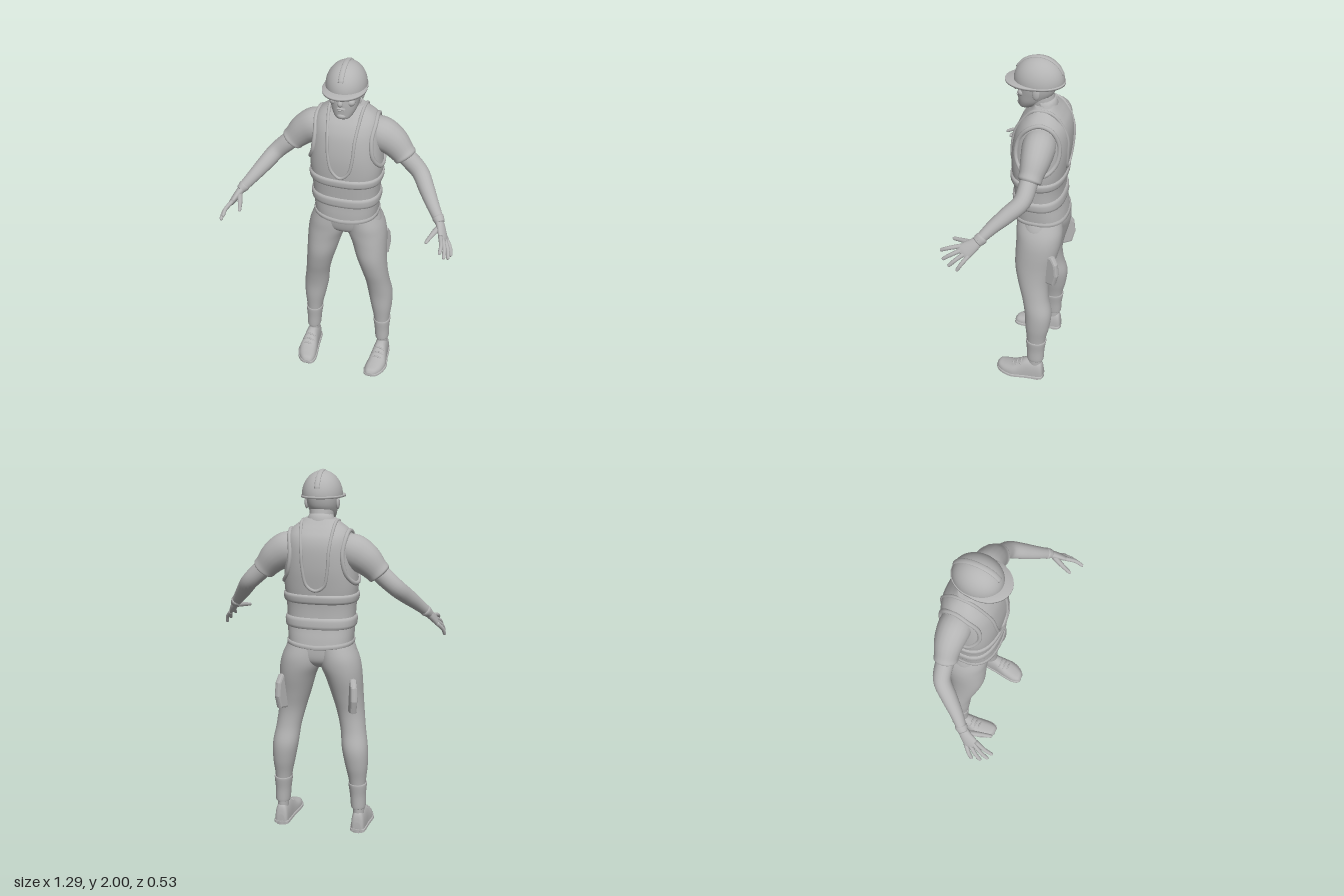
import * as THREE from 'three';

const V = (x, y, z) => new THREE.Vector3(x, y, z);
const spow = (v, e) => Math.sign(v) * Math.abs(v) ** e;

// Catmull-Rom through rows of numbers, column by column
function spline(rows, k = 5) {
  const out = [], at = i => rows[Math.min(Math.max(i, 0), rows.length - 1)];
  for (let i = 0; i < rows.length - 1; i++) for (let s = 0; s < k; s++) {
    const t = s / k, [p, a, b, q] = [at(i - 1), at(i), at(i + 1), at(i + 2)];
    out.push(a.map((v, c) => {
      const cubic = 3 * (v - b[c]) + q[c] - p[c];
      const square = 2 * p[c] - 5 * v + 4 * b[c] - q[c];
      return v + 0.5 * t * (b[c] - p[c] + t * (square + t * cubic));
    }));
  }
  return [...out, at(rows.length - 1)];
}

// Surface through closed rings, with capped ends
function skin(rings, caps = true) {
  const n = rings[0].length, m = rings.length, pts = rings.flat(), idx = [];
  for (let i = 0; i < m - 1; i++) for (let j = 0; j < n; j++) {
    const a = i * n + j, b = i * n + (j + 1) % n;
    idx.push(a, b, a + n, b, b + n, a + n);
  }
  if (caps) for (const i of [0, m - 1]) {
    const c = pts.length;
    pts.push(rings[i].reduce((s, p) => s.add(p), V(0, 0, 0)).divideScalar(n));
    for (let j = 0; j < n; j++) {
      const a = i * n + j, b = i * n + (j + 1) % n;
      if (i) idx.push(c, a, b);
      else idx.push(c, b, a);
    }
  }
  const g = new THREE.BufferGeometry().setFromPoints(pts);
  g.setIndex(idx);
  g.computeVertexNormals();
  return g;
}

const circle = (n, f) => Array.from({ length: n }, (_, j) => f(Math.cos(j / n * 2 * Math.PI), Math.sin(j / n * 2 * Math.PI)));

// Upright form, rows of [y, xMid, halfWidth, zFront, zBack]
const level = ([y, x, rx, zf, zb], e = 2, grow = 0) => circle(40, (c, s) =>
  V(x + (rx + grow) * spow(c, 2 / e), y, (zf + zb) / 2 - ((zf - zb) / 2 + grow) * spow(s, 2 / e)));
const column = (rows, e) => skin(spline(rows).map(r => level(r, e)));

// Limb along a path, rows of [x, y, z, radius along ref, radius across]
function limb(rows, ref = V(0, 0, 1), k = 5, n = 20) {
  const path = spline(rows, k), p = path.map(r => V(r[0], r[1], r[2]));
  return skin(path.map((r, i) => {
    const t = p[Math.min(i + 1, p.length - 1)].clone().sub(p[Math.max(i - 1, 0)]).normalize();
    const side = ref.clone().addScaledVector(t, -ref.dot(t)).normalize(), up = t.clone().cross(side);
    return circle(n, (c, s) => p[i].clone().addScaledVector(side, c * r[3]).addScaledVector(up, s * r[4]));
  }));
}

function ball(x, y, z, a, b, c) {
  return new THREE.SphereGeometry(1, 20, 14).scale(a, b, c).translate(x, y, z);
}

function mirror(geo) {
  const g = geo.clone().scale(-1, 1, 1);
  const idx = g.index ? [...g.index.array] : [...Array(g.attributes.position.count).keys()];
  for (let i = 0; i < idx.length; i += 3) {
    [idx[i], idx[i + 1]] = [idx[i + 1], idx[i]];
  }
  return g.setIndex(idx);
}

// Vest profile, also used to lay the trims on its surface
const VEST_E = 2.5;
const vestRows = spline([
  [1.085, 0, .174, .03, -.258], [1.13, 0, .178, .03, -.25], [1.2, 0, .182, .028, -.236], [1.3, 0, .187, .036, -.234],
  [1.4, 0, .197, .044, -.248], [1.5, 0, .193, .043, -.26], [1.6, 0, .184, .026, -.26], [1.66, 0, .174, 0, -.246],
  [1.7, 0, .152, -.03, -.22], [1.73, 0, .115, -.055, -.195], [1.755, 0, .085, -.07, -.175]]);
function vestAt(y) {
  const i = Math.max(1, vestRows.findIndex(r => r[0] >= y)), a = vestRows[i - 1], b = vestRows[i];
  return a.map((v, c) => v + (b[c] - v) * (y - a[0]) / (b[0] - a[0]));
}
const arc = (u, r) => r * Math.max(0, 1 - Math.abs(u) ** VEST_E) ** (1 / VEST_E);
function onVest(x, y, face) {
  const [, , rx, zf, zb] = vestAt(y);
  return V(x, y, (zf + zb) / 2 + face * arc(x / rx, (zf - zb) / 2));
}
function onSide(z, y) {
  const [, , rx, zf, zb] = vestAt(y);
  return V(arc((z - (zf + zb) / 2) / ((zf - zb) / 2), rx), y, z);
}
const trim = (pts, r) => new THREE.TubeGeometry(new THREE.CatmullRomCurve3(pts, true), 120, r, 8, true);

export function createModel() {
  const model = new THREE.Group();
  model.name = 'worker';
  const grey = new THREE.MeshStandardMaterial({ color: 0xb4b4b4 });
  grey.name = 'plain grey';
  const add = (name, geo) => {
    const m = new THREE.Mesh(geo, grey);
    m.name = name;
    model.add(m);
  };
  const pair = (name, geo) => { add('left' + name, geo); add('right' + name, mirror(geo)); };

  // Vest with reflective bands, a dipping hem and trims
  add('vest', skin(vestRows.map(r => level(r, VEST_E))));
  for (const [lo, hi] of [[1.18, 1.24], [1.315, 1.365]]) {
    const steps = [[0, 0], [.08, .008], [.3, .011], [.7, .011], [.92, .008], [1, 0]];
    add('vestBand', skin(steps.map(([t, g]) => level(vestAt(lo + t * (hi - lo)), VEST_E, g)), false));
  }
  const hemRings = [[1.085, 0], [1.089, .007], [1.104, .007], [1.11, 0]].map(([y, g]) => level(vestAt(y), VEST_E, g));
  for (const p of hemRings.flat()) p.y -= .012 * (1 - Math.abs(p.x) / .18);
  add('vestHem', skin(hemRings));
  const neckline = [[.085, 1.7], [.073, 1.6], [.066, 1.5], [.045, 1.415]];
  const half = (f, low) => [...neckline.map(([x, y]) => onVest(x, y, f)), onVest(0, low, f),
    ...neckline.slice().reverse().map(([x, y]) => onVest(-x, y, f))];
  const top = [onVest(.09, 1.738, 1), onVest(.09, 1.738, -1)];
  const flip = p => V(-p.x, p.y, p.z);
  add('necklineTrim', trim([top[0], ...half(1, 1.378), flip(top[0]), flip(top[1]), ...half(-1, 1.39).reverse(), top[1]], .009));
  pair('ArmholeTrim', trim([[-.01, 1.5], [-.02, 1.6], [-.07, 1.67], [-.13, 1.695], [-.19, 1.672], [-.228, 1.58],
    [-.215, 1.48], [-.16, 1.425], [-.06, 1.43]].map(p => onSide(...p)), .012));

  // Trousers with cuffs
  add('pelvis', column([[.955, 0, .05, -.06, -.17], [.985, 0, .15, -.02, -.215], [1.03, 0, .198, -.002, -.232], [1.12, 0, .17, .01, -.23]], 2.2));
  const leg = (y, out, inn, zf, zb) => [y, (out + inn) / 2, (out - inn) / 2, zf, zb];
  pair('Leg', column([leg(.14, .25, .185, -.095, -.18), leg(.3, .26, .166, -.085, -.195), leg(.4, .27, .145, -.075, -.215),
    leg(.5, .269, .126, -.068, -.222), leg(.6, .253, .114, -.048, -.2), leg(.7, .241, .09, -.02, -.195), leg(.8, .233, .06, 0, -.213),
    leg(.9, .229, .03, .001, -.238), leg(.97, .222, .002, .001, -.25), leg(1.03, .205, -.002, .003, -.25), leg(1.1, .17, 0, 0, -.235)], 2.1));
  pair('Cuff', column([leg(.142, .254, .182, -.093, -.184), leg(.15, .261, .178, -.088, -.188), leg(.22, .261, .172, -.086, -.191),
    leg(.285, .266, .163, -.081, -.2), leg(.292, .26, .168, -.086, -.195)], 2.1));
  pair('Ankle', column([leg(.08, .252, .19, -.095, -.175), leg(.15, .252, .19, -.095, -.175)]));

  // Rear thigh pouches
  const flap = new THREE.Shape([[0, .9], [.05, .905], [.072, .87], [.08, .8], [.064, .738], [.015, .73], [0, .74]].map(p => new THREE.Vector2(...p)));
  pair('Pouch', new THREE.ExtrudeGeometry(flap, { depth: .012, bevelThickness: .012, bevelSize: .012, bevelSegments: 2 })
    .translate(0, 0, -.006).rotateY(1.13).translate(.177, 0, -.174));

  // Shoes, rows of [z, xMid, halfWidth, top]
  const shoeRows = spline([[-.188, .222, .022, .06], [-.175, .222, .036, .115], [-.13, .222, .042, .13], [-.08, .222, .046, .125],
    [-.04, .222, .052, .1], [0, .221, .057, .076], [.05, .212, .052, .06], [.085, .204, .036, .05], [.1, .2, .016, .03]]);
  const shoe = (base, grow, h, e) => skin(shoeRows.map(([z, x, w, t]) => circle(24, (c, s) =>
    V(x + (w + grow) * spow(c, e), base + (s > 0 ? (h || t - base) * s ** e : 0), z * (1 + grow)))));
  pair('Shoe', shoe(.018, 0, 0, .8));
  pair('Sole', shoe(.008, .006, .016, .25));
  pair('Heel', new THREE.CylinderGeometry(.044, .044, .02, 24).scale(.95, 1, 1).translate(.222, .01, -.148));
  for (const [z, y] of [[-.055, .112], [-.03, .096], [-.005, .081]])
    pair('Lace', limb([[.19, y - .016, z, .005, .005], [.222, y, z, .005, .005], [.254, y - .016, z, .005, .005]], V(0, 0, 1), 4, 8));

  // Sleeves and arms
  pair('Sleeve', limb([[.09, 1.61, -.13, .07, .065], [.17, 1.59, -.132, .085, .092], [.24, 1.55, -.132, .077, .085],
    [.295, 1.495, -.125, .062, .068], [.315, 1.473, -.121, .061, .064], [.32, 1.467, -.12, .045, .048]]));
  pair('Arm', limb([[.27, 1.52, -.125, .045, .045], [.33, 1.465, -.12, .047, .05], [.4, 1.4, -.105, .045, .047],
    [.45, 1.345, -.045, .042, .043], [.5, 1.29, .02, .034, .035], [.55, 1.235, .075, .025, .027]]));

  // Gloved hands
  const across = V(.36, -.58, -.73);
  pair('GloveCuff', limb([[.534, 1.252, .057, .027, .027], [.54, 1.246, .063, .033, .031], [.556, 1.229, .082, .028, .024]], across));
  pair('Palm', limb([[.545, 1.24, .07, .025, .022], [.565, 1.212, .1, .034, .02], [.585, 1.182, .138, .042, .016], [.595, 1.168, .152, .036, .01]], across));
  const tips = [[.592, 1.167, .266], [.614, 1.128, .25], [.632, 1.104, .215], [.64, 1.09, .168]];
  tips.forEach((tip, i) => {
    const a = V(.585, 1.183, .138).addScaledVector(across, (i - 1.5) * .021), b = V(...tip);
    const m = a.clone().lerp(b, .55).add(V(.006, .006, 0));
    pair('Finger', limb([[...a, .012, .012], [...m, .0105, .0105], [...a.clone().lerp(b, .93), .009, .009], [...b, .003, .003]], across, 4, 10));
  });
  pair('Thumb', limb([[.56, 1.215, .09, .016, .016], [.54, 1.207, .135, .015, .015], [.523, 1.198, .18, .011, .011],
    [.512, 1.191, .216, .009, .009], [.51, 1.19, .225, .003, .003]], V(0, 1, 0), 4, 10));

  // Neck and head
  add('neck', limb([[0, 1.64, -.135, .09, .085], [0, 1.71, -.115, .066, .067], [0, 1.8, -.095, .064, .066]], V(1, 0, 0)));
  add('collar', limb([[0, 1.7, -.12, .092, .07], [0, 1.745, -.115, .076, .067], [0, 1.75, -.113, .066, .06]], V(1, 0, 0)));
  add('head', column([[1.715, 0, .022, .004, -.04], [1.725, 0, .042, .017, -.06], [1.76, 0, .064, .021, -.115], [1.8, 0, .075, .023, -.158],
    [1.84, 0, .082, .021, -.174], [1.9, 0, .085, .025, -.18]], 2.15));
  add('nose', limb([[0, 1.856, .018, .007, .008], [0, 1.835, .027, .009, .01], [0, 1.815, .036, .014, .013], [0, 1.806, .03, .011, .008]], V(1, 0, 0)));
  add('upperLip', ball(0, 1.783, .021, .024, .006, .009));
  add('lowerLip', ball(0, 1.772, .019, .02, .006, .009));
  add('chin', ball(0, 1.737, .008, .026, .017, .018));
  pair('Brow', ball(.033, 1.858, .012, .024, .007, .012));
  pair('Eye', ball(.032, 1.84, .006, .014, .008, .012));
  pair('Cheek', ball(.045, 1.812, -.006, .022, .02, .02));
  pair('Ear', ball(.084, 1.83, -.09, .01, .033, .02));

  // Hard hat
  const dome = new THREE.SphereGeometry(1, 40, 20, 0, Math.PI * 2, 0, Math.PI / 2);
  add('hatShell', dome.scale(.106, .126, .129).translate(0, 1.87, -.085));
  const brim = (inner, y) => circle(48, (c, s) => {
    const g = inner ? -.012 : .005 + .04 * Math.max(0, -s);
    return V((.106 + g * (inner ? 1 : .75)) * c, y, -.085 - (.129 + g) * s);
  });
  add('hatBrim', skin([brim(true, 1.862), brim(false, 1.86), brim(false, 1.87), brim(true, 1.876)], false));
  const ridge = Array.from({ length: 13 }, (_, i) => {
    const a = .5 + i / 12 * 2.3;
    return [0, 1.87 + .126 * Math.sin(a), -.085 + .129 * Math.cos(a), .014, .006];
  });
  add('hatRidge', limb(ridge, V(1, 0, 0), 2, 12));
  return model;
}
